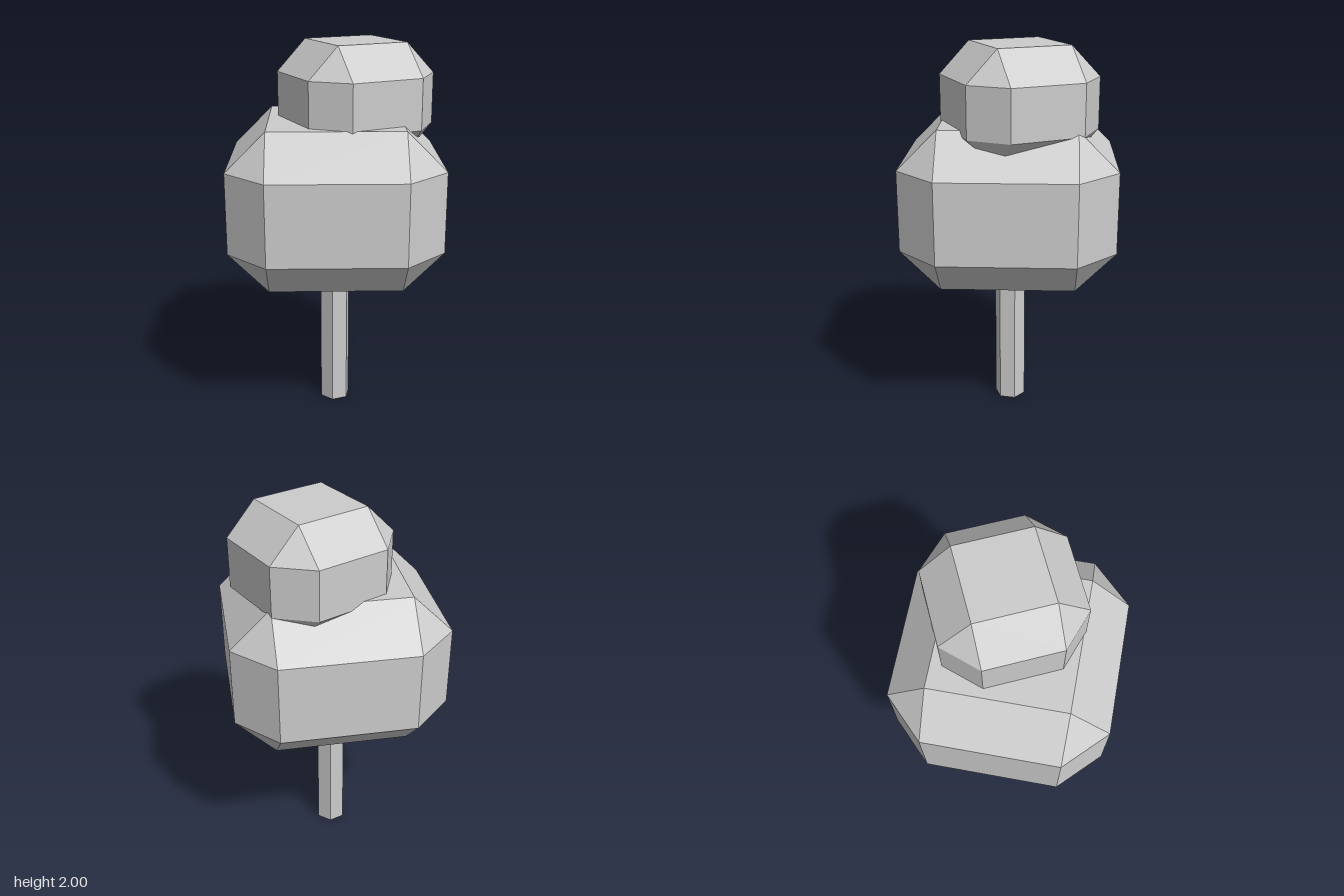
import * as THREE from 'three';
import { ConvexGeometry } from 'three/addons/geometries/ConvexGeometry.js';

// Box with every edge and corner cut off by the same chamfer
function chamferedBox(halfWidth, halfHeight, chamfer) {
  const w = halfWidth - chamfer, h = halfHeight - chamfer;
  const points = [];
  for (const x of [-1, 1]) for (const y of [-1, 1]) for (const z of [-1, 1]) {
    points.push(
      new THREE.Vector3(x * halfWidth, y * h, z * w),
      new THREE.Vector3(x * w, y * halfHeight, z * w),
      new THREE.Vector3(x * w, y * h, z * halfWidth)
    );
  }
  return new ConvexGeometry(points);
}

export function createModel() {
  const model = new THREE.Group();
  model.name = 'tree';
  const grey = new THREE.MeshStandardMaterial({ color: 0xcccccc, flatShading: true });
  grey.name = 'light grey';

  function add(name, geometry, x, y, z, degrees = 0) {
    const mesh = new THREE.Mesh(geometry, grey);
    mesh.name = name;
    mesh.position.set(x, y, z);
    mesh.rotation.y = THREE.MathUtils.degToRad(degrees);
    model.add(mesh);
  }

  // Six-sided trunk, running a little way into the foliage
  add('trunk', new THREE.CylinderGeometry(0.083, 0.083, 0.9, 6), 0, 0.45, 0);

  // Two foliage blocks, turned against each other
  add('lowerFoliage', chamferedBox(0.548, 0.415, 0.205), 0, 1.195, 0, 10);
  add('upperFoliage', chamferedBox(0.353, 0.29, 0.16), 0.095, 1.71, -0.066, 35);

  return model;
}
